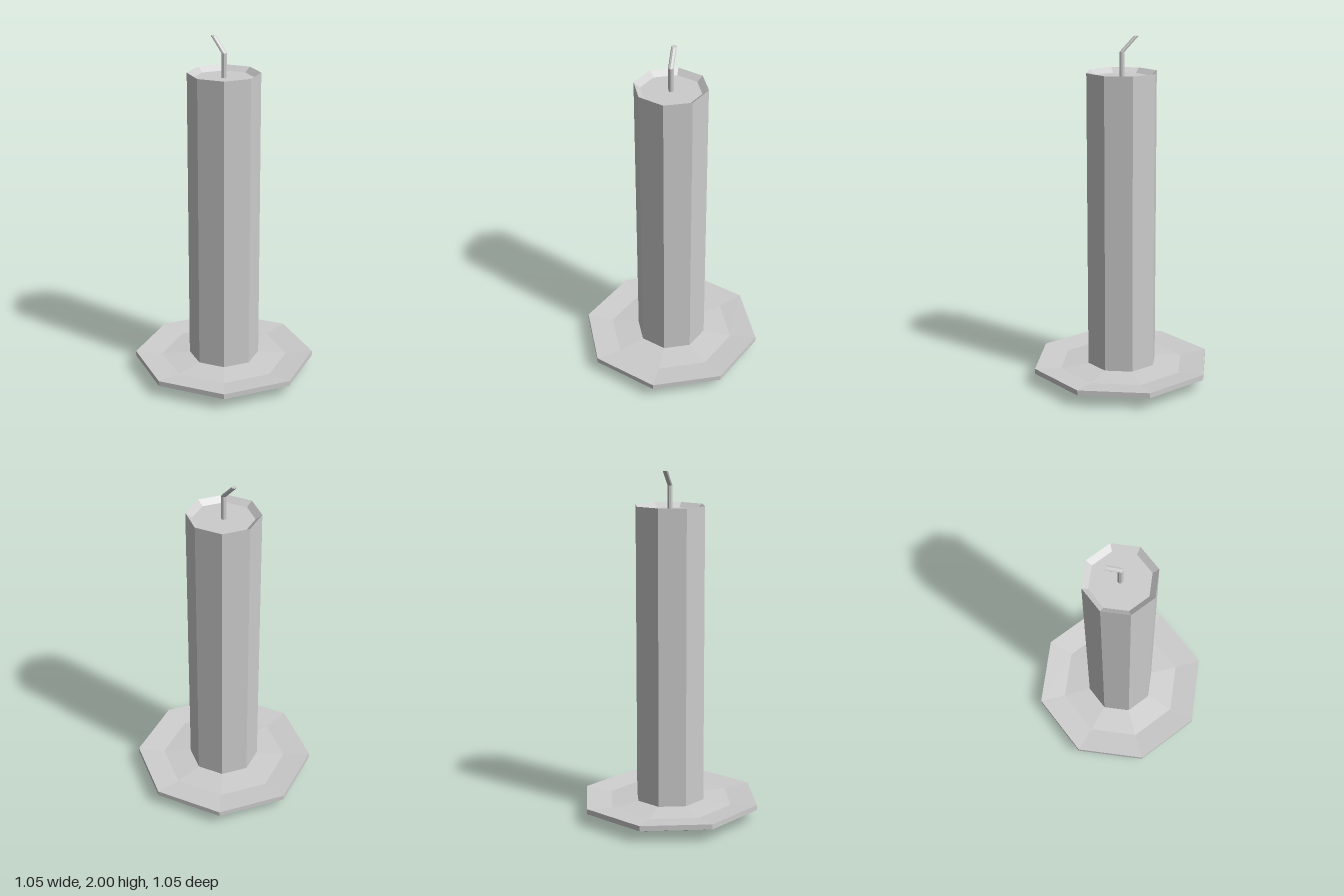
import * as THREE from 'three';

// Split shared vertices so every facet is flat
function faceted(geometry) {
  const flat = geometry.toNonIndexed();
  flat.computeVertexNormals();
  return flat;
}

// Eight-sided turned part; profile runs from the bottom up and over to the axis
function turned(profile) {
  return faceted(new THREE.LatheGeometry(profile.map(([r, y]) => new THREE.Vector2(r, y)), 8));
}

export function createModel() {
  const model = new THREE.Group();
  model.name = 'candle';
  const grey = new THREE.MeshStandardMaterial({ color: 0xcccccc });
  grey.name = 'grey';

  const add = (name, geometry) => {
    const mesh = new THREE.Mesh(geometry, grey);
    mesh.name = name;
    model.add(mesh);
  };

  // Shallow dish: raised rim, slight trough, gentle rise to the candle
  add('dish', turned([
    [0, 0], [0.335, 0], [0.527, 0.07], [0.527, 0.1], [0.37, 0.085], [0.2, 0.1], [0, 0.1],
  ]));

  // Wax body with a sunken top
  add('wax', turned([[0, 0.09], [0.205, 0.09], [0.205, 1.805], [0.17, 1.777], [0, 1.777]]));

  // Wick: straight stem whose top section leans towards -x
  const wick = new THREE.CylinderGeometry(0.015, 0.015, 2, 8, 2);
  const p = wick.attributes.position;
  for (let i = 0; i < p.count; i++) {
    const level = Math.round(p.getY(i)) + 1;
    p.setX(i, p.getX(i) + [0, 0, -0.082][level]);
    p.setY(i, [1.77, 1.915, 2][level]);
  }
  add('wick', faceted(wick));

  return model;
}
